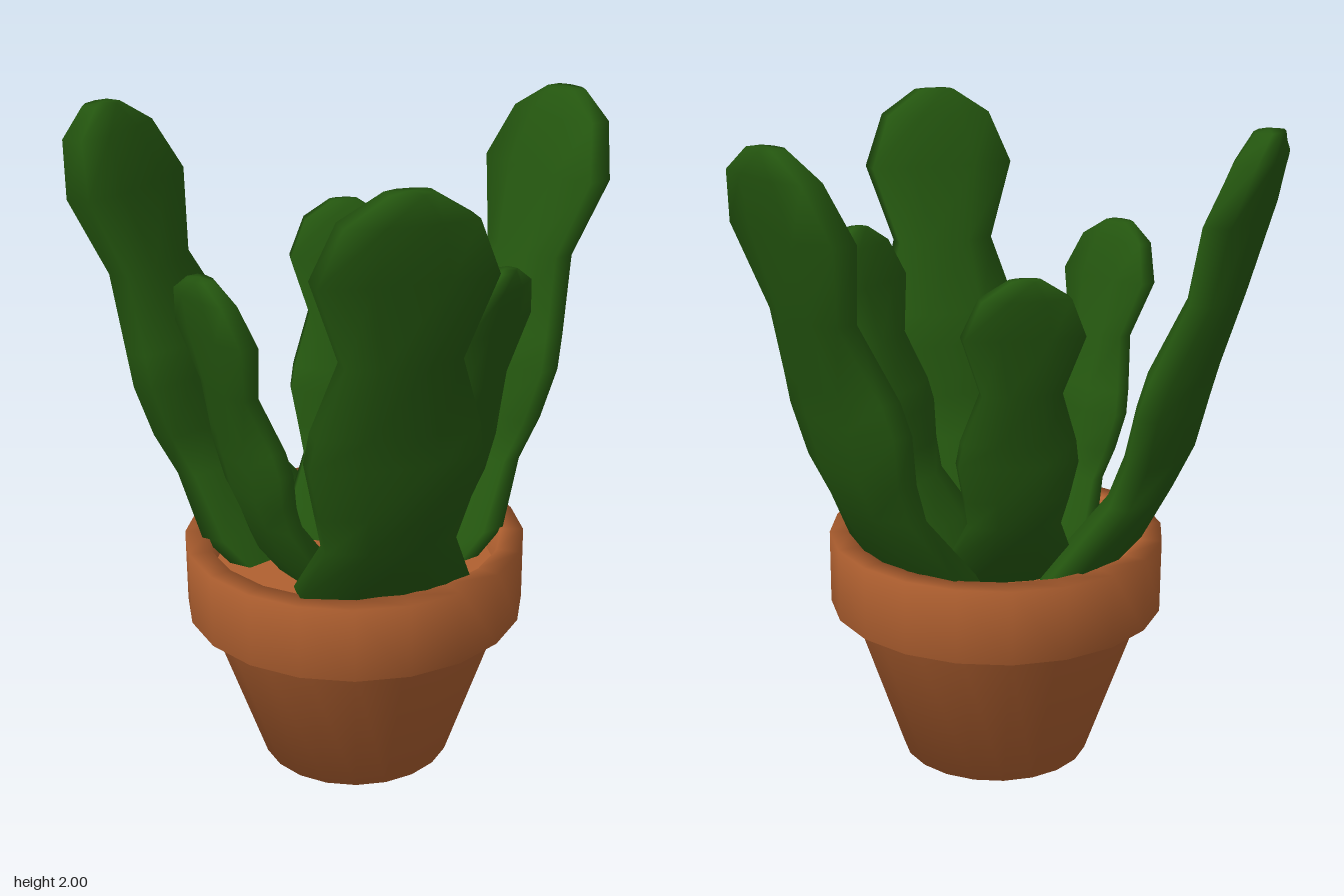
import * as THREE from 'three';

const terracotta = new THREE.MeshStandardMaterial({ color: 0xb06030 });
terracotta.name = 'terracotta';
const leafGreen = new THREE.MeshStandardMaterial({ color: 0x24560f });
leafGreen.name = 'leaf green';

const POT_X = -0.117, POT_Z = -0.02, SOIL_Y = 0.73;

// Leaf sections: height, position along the lean (0 base, 1 tip), half width,
// half thickness, roundness of the edge (1 is an ellipse, lower is blunter)
const SECTIONS = [
  [0.55, -0.3, 0.2, 0.08, 1],
  [0.73, 0, 0.255, 0.095, 1],
  [0.91, 0.26, 0.19, 0.075, 1],
  [1.04, 0.38, 0.215, 0.08, 1],
  [1.2, 0.46, 0.245, 0.08, 1],
  [1.3, 0.52, 0.23, 0.08, 1],
  [1.52, 0.71, 0.16, 0.067, 0.8],
  [1.76, 0.84, 0.24, 0.067, 0.6],
  [1.92, 0.95, 0.175, 0.058, 0.6],
  [1.995, 0.99, 0.06, 0.04, 0.6],
];
const SIDES = 8;

// Flat, pinched leaf leaning from base [x, z] to tip [x, z], facing a compass angle
function leafGeometry(base, tip, facing, scale) {
  const a = THREE.MathUtils.degToRad(facing);
  const nx = Math.cos(a), nz = Math.sin(a);
  const pos = [], index = [];
  let centre;
  for (const [h, f, w, t, round] of SECTIONS) {
    const y = SOIL_Y + (h - SOIL_Y) * scale;
    const cx = base[0] + (tip[0] - base[0]) * f;
    const cz = base[1] + (tip[1] - base[1]) * f;
    centre = [cx, y + 0.004, cz];
    for (let i = 0; i < SIDES; i++) {
      const u = ((i + 0.5) / SIDES) * Math.PI * 2;
      const c = Math.cos(u) / 0.924, s = Math.sin(u) / 0.924;
      const out = Math.sign(c) * Math.abs(c) ** round * t * scale;
      const side = s * w * scale;
      pos.push(cx + nx * out - nz * side, y, cz + nz * out + nx * side);
    }
  }
  const rows = SECTIONS.length;
  pos.push(...centre);
  for (let i = 0; i < SIDES; i++) {
    const j = (i + 1) % SIDES;
    for (let r = 0; r < rows - 1; r++) {
      const p = r * SIDES, q = p + SIDES;
      index.push(p + i, q + i, p + j, p + j, q + i, q + j);
    }
    const last = (rows - 1) * SIDES;
    index.push(last + i, rows * SIDES, last + j);
  }
  const g = new THREE.BufferGeometry();
  g.setAttribute('position', new THREE.Float32BufferAttribute(pos, 3));
  g.setIndex(index);
  g.computeVertexNormals();
  return g;
}

export function createModel() {
  const group = new THREE.Group();
  group.name = 'potted cactus';

  const add = (name, geometry, material) => {
    const mesh = new THREE.Mesh(geometry, material);
    mesh.name = name;
    group.add(mesh);
    return mesh;
  };

  // Pot: tapered body running smoothly into the rim, and the filled surface inside
  const profile = [
    [0, 0], [0.295, 0], [0.465, 0.5], [0.52, 0.5], [0.52, 0.73], [0.45, 0.73], [0.42, 0.63],
  ].map(([x, y]) => new THREE.Vector2(x, y));
  const potParts = [
    add('pot', new THREE.LatheGeometry(profile, 20), terracotta),
    add('soil', new THREE.CircleGeometry(0.43, 20).rotateX(-Math.PI / 2).translate(0, 0.64, 0), terracotta),
  ];
  for (const part of potParts) part.position.set(POT_X, 0, POT_Z);

  // Leaves: name, base, tip, facing, scale
  const leaves = [
    ['tallLeafLeft', [0.225, -0.02], [0.7, -0.02], 0, 1],
    ['tallLeafFront', [-0.25, 0.3], [-0.445, 0.675], 110, 1],
    ['tallLeafBack', [-0.27, -0.33], [-0.555, -0.675], -115, 1],
    ['shortLeafRight', [-0.35, -0.02], [-0.63, -0.02], 180, 0.717],
    ['shortLeafFront', [-0.01, 0.17], [0.08, 0.425], 73, 0.717],
    ['shortLeafBack', [0, -0.22], [0.165, -0.455], -60, 0.717],
  ];
  for (const [name, base, tip, facing, scale] of leaves) {
    add(name, leafGeometry(base, tip, facing, scale), leafGreen);
  }
  return group;
}
